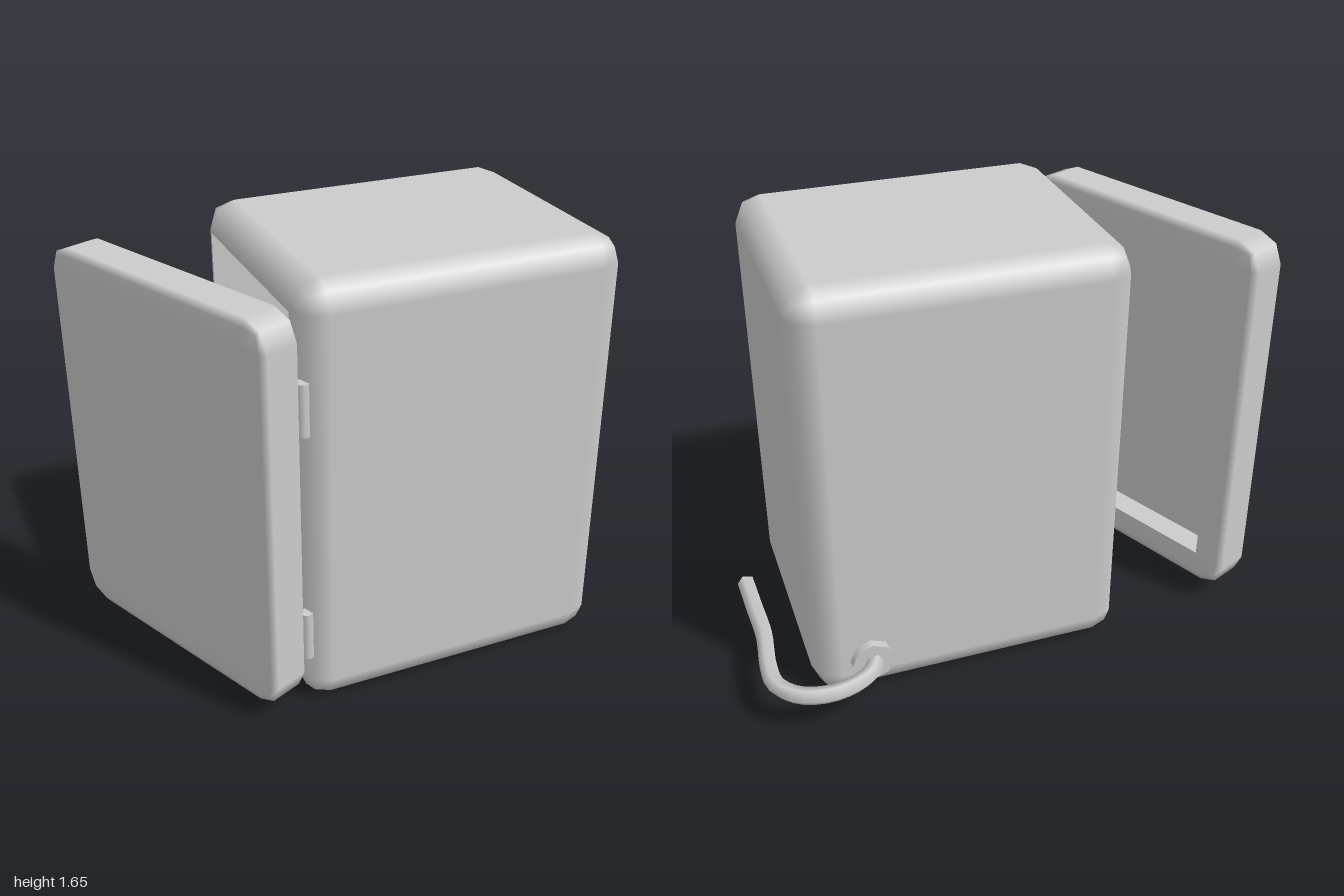
import * as THREE from 'three';
import { RoundedBoxGeometry } from 'three/addons/geometries/RoundedBoxGeometry.js';
import { toCreasedNormals } from 'three/addons/utils/BufferGeometryUtils.js';

const grey = new THREE.MeshStandardMaterial({ color: 0xcccccc });
const greyInside = new THREE.MeshStandardMaterial({ color: 0xcccccc, side: THREE.BackSide });

function addMesh(parent, name, geometry, x = 0, y = 0, z = 0, material = grey) {
  const mesh = new THREE.Mesh(geometry, material);
  mesh.name = name;
  mesh.position.set(x, y, z);
  parent.add(mesh);
  return mesh;
}

// Removes the flat triangles that face -x, leaving the box open on that side
function openMinusX(source) {
  const g = source.index ? source.toNonIndexed() : source;
  const p = g.attributes.position, n = g.attributes.normal;
  const pos = [], nor = [];
  for (let i = 0; i < p.count; i += 3) {
    if ([0, 1, 2].every((k) => n.getX(i + k) < -0.99)) continue;
    for (let k = i; k < i + 3; k++) {
      pos.push(p.getX(k), p.getY(k), p.getZ(k));
      nor.push(n.getX(k), n.getY(k), n.getZ(k));
    }
  }
  const out = new THREE.BufferGeometry();
  out.setAttribute('position', new THREE.Float32BufferAttribute(pos, 3));
  out.setAttribute('normal', new THREE.Float32BufferAttribute(nor, 3));
  return out;
}

function rectangle(path, w, h) {
  return path.moveTo(-w / 2, -h / 2).lineTo(w / 2, -h / 2).lineTo(w / 2, h / 2).lineTo(-w / 2, h / 2).closePath();
}

// Rounded box with a rectangular pocket sunk into its -x side.
// r is the corner radius in the y-z plane, rx the rounding depth along x.
function hollowBox(name, w, h, d, r, rx, inset, depth) {
  const group = new THREE.Group();
  group.name = name;
  const shell = new RoundedBoxGeometry(w * r / rx, h, d, 1, r);
  shell.scale(rx / r, 1, 1);
  addMesh(group, name + 'Shell', openMinusX(shell));

  const rim = rectangle(new THREE.Shape(), d - 2 * r, h - 2 * r);
  const pw = d - 2 * inset, ph = h - 2 * inset;
  rim.holes.push(rectangle(new THREE.Path(), pw, ph));
  addMesh(group, name + 'Rim', new THREE.ShapeGeometry(rim).rotateY(-Math.PI / 2), -w / 2);

  const pocket = openMinusX(new THREE.BoxGeometry(depth, ph, pw));
  addMesh(group, name + 'Lining', pocket, (depth - w) / 2, 0, 0, greyInside);
  return group;
}

export function createModel() {
  const model = new THREE.Group();
  model.name = 'smallFridge';

  // Cabinet, open towards -x
  const cabinet = hollowBox('cabinet', 1.215, 1.655, 1.015, 0.1, 0.1, 0.112, 1.1);
  cabinet.position.set(0.203, 0.8275, 0.047);
  model.add(cabinet);

  // Door, swung open, its recess facing the cabinet
  const door = hollowBox('door', 0.16, 1.505, 1.095, 0.1, 0.016, 0.125, 0.1);
  door.position.set(-0.703, 0.8325, 0.086);
  door.rotation.y = THREE.MathUtils.degToRad(204);
  model.add(door);

  // Hinges
  for (const y of [0.31, 1.225]) {
    addMesh(model, 'hinge', new THREE.CylinderGeometry(0.024, 0.024, 0.195, 8), -0.39, y, 0.515);
  }

  // Shelf
  addMesh(model, 'shelf', new THREE.BoxGeometry(0.84, 0.06, 0.79), 0.275, 0.78, 0.047);

  // Stacked bottles lying along x
  const r = 0.132;
  for (let row = 0; row < 2; row++) {
    for (let i = 0; i < 3 - row; i++) {
      const bottle = new THREE.CylinderGeometry(r, r, 0.6, 8).rotateZ(Math.PI / 2);
      addMesh(model, 'bottle', bottle, 0.19, 0.112 + r + row * r * 1.732, 0.047 + (i - 1 + row / 2) * 2 * r);
    }
  }

  // Cord outlet on the back
  const outlet = new THREE.CylinderGeometry(0.08, 0.08, 0.06, 8).rotateX(Math.PI / 2);
  addMesh(model, 'cordOutlet', outlet, 0.6, 0.165, -0.464);

  // Five-sided power cord
  const path = new THREE.CatmullRomCurve3([
    [0.585, -0.47], [0.62, -0.54], [0.7, -0.588], [0.8, -0.602], [0.9, -0.572],
    [0.962, -0.5], [0.97, -0.4], [0.953, -0.22], [0.958, -0.05], [0.963, 0.13],
  ].map(([x, z]) => new THREE.Vector3(x, 0.165, z)));
  const section = new THREE.Shape(Array.from({ length: 5 }, (_, i) => {
    const a = Math.PI / 2 + i * Math.PI * 0.4;
    return new THREE.Vector2(Math.cos(a) * 0.034, Math.sin(a) * 0.034);
  }));
  const cord = new THREE.ExtrudeGeometry(section, { steps: 28, bevelEnabled: false, extrudePath: path });
  addMesh(model, 'powerCord', toCreasedNormals(cord, 1.3));

  return model;
}
